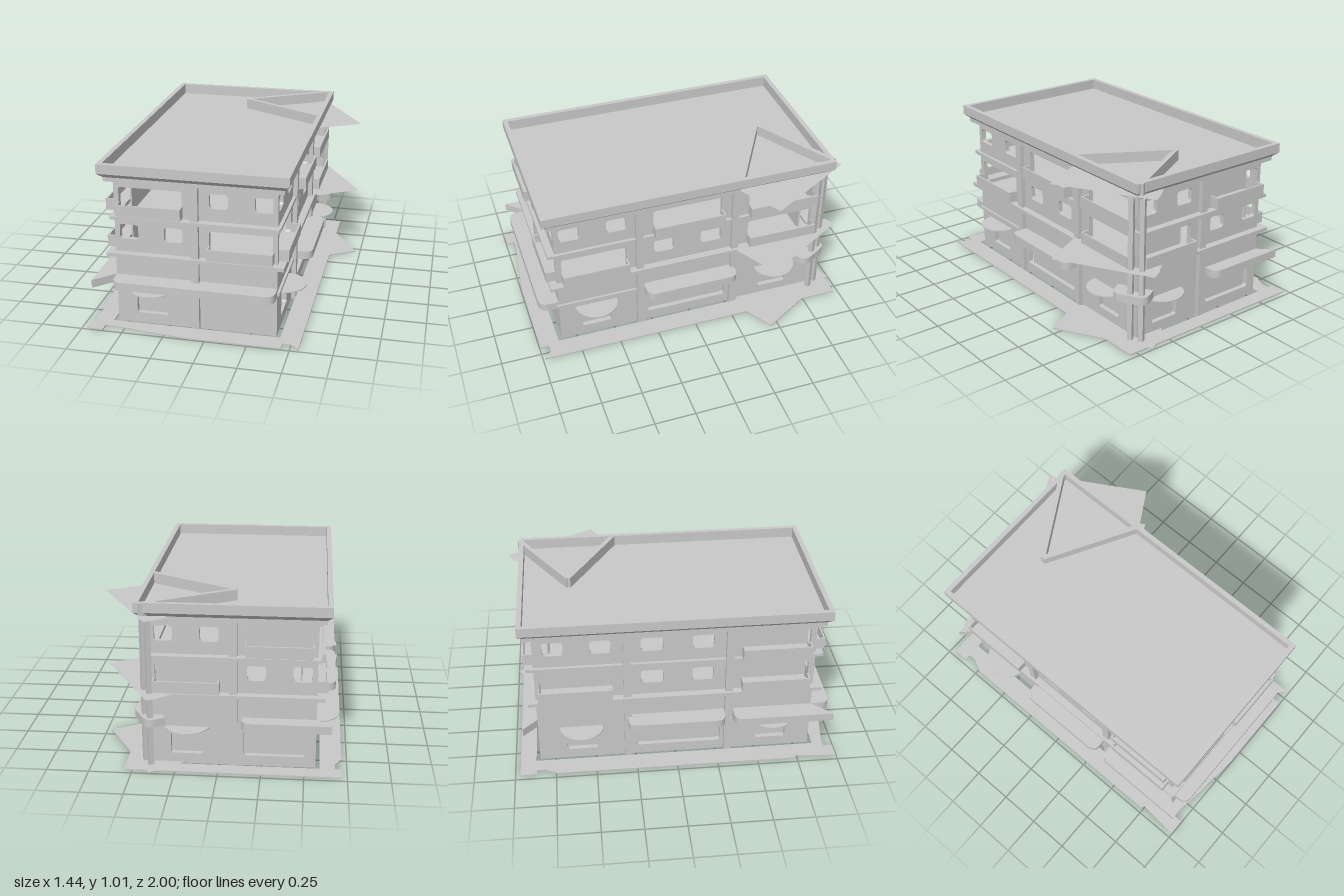
import * as THREE from 'three';

const grey = new THREE.MeshStandardMaterial({ color: 0xc8c8c8, side: THREE.DoubleSide });
grey.name = 'concrete grey';
const CX = -0.083, HX = 0.483, HZ = 0.847, WALL_H = 0.91, T = 0.03;

function add(parent, name, geometry, x = 0, y = 0, z = 0) {
  const mesh = new THREE.Mesh(geometry, grey);
  mesh.name = name;
  mesh.position.set(x, y, z);
  parent.add(mesh);
  return mesh;
}

// Box given by its two extremes on each axis
function block(parent, name, x0, x1, y0, y1, z0, z1) {
  return add(parent, name, new THREE.BoxGeometry(x1 - x0, y1 - y0, z1 - z0),
    (x0 + x1) / 2, (y0 + y1) / 2, (z0 + z1) / 2);
}

// Rounded opening; r is the lower corner radius, rt the upper one
function roundRect(x0, x1, y0, y1, r, rt = r) {
  const path = new THREE.Path();
  path.moveTo(x0 + r, y0);
  path.lineTo(x1 - r, y0); path.quadraticCurveTo(x1, y0, x1, y0 + r);
  path.lineTo(x1, y1 - rt); path.quadraticCurveTo(x1, y1, x1 - rt, y1);
  path.lineTo(x0 + rt, y1); path.quadraticCurveTo(x0, y1, x0, y1 - rt);
  path.lineTo(x0, y0 + r); path.quadraticCurveTo(x0, y0, x0 + r, y0);
  return path;
}

// Shape drawn in (x, z) and raised along y
function flat(points, y, height, hole) {
  const shape = new THREE.Shape(points.map(([x, z]) => new THREE.Vector2(x, -z)));
  if (hole) shape.holes.push(new THREE.Path(hole.map(([x, z]) => new THREE.Vector2(x, -z))));
  const g = height
    ? new THREE.ExtrudeGeometry(shape, { depth: height, bevelEnabled: false })
    : new THREE.ShapeGeometry(shape);
  return g.rotateX(-Math.PI / 2).translate(0, y, 0);
}

// Canopy slab along a wall: rounded outer corners, or a pointed mitre at its far end
function canopy(parent, u0, u1, d, mitre) {
  const r = 0.06, s = new THREE.Shape();
  s.moveTo(u1, 0);
  s.lineTo(u0, 0);
  s.lineTo(u0, -d + r);
  s.quadraticCurveTo(u0, -d, u0 + r, -d);
  if (mitre) {
    s.lineTo(u1 + d, -d);
  } else {
    s.lineTo(u1 - r, -d);
    s.quadraticCurveTo(u1, -d, u1, -d + r);
  }
  const g = new THREE.ExtrudeGeometry(s, { depth: 0.05, bevelEnabled: false });
  return add(parent, 'canopy', g.rotateX(-Math.PI / 2), 0, 0.258, 0);
}

// One outer wall facing local +z, with openings, balconies, doors and canopies
function buildWall(name, half, spec) {
  const wall = new THREE.Group();
  wall.name = name;
  const shape = new THREE.Shape();
  shape.moveTo(-half, 0); shape.lineTo(half, 0);
  shape.lineTo(half, WALL_H); shape.lineTo(-half, WALL_H);
  const hole = (...a) => shape.holes.push(roundRect(...a));

  for (const [u0, u1, row] of spec.small) {
    const y = row ? 0.77 : 0.54;
    hole(u0, u1, y, y + 0.09, 0.022);
  }
  for (const [u0, u1, row] of spec.balconies) {
    const y = row ? 0.70 : 0.47;
    hole(u0 + 0.004, u1 - 0.004, y + 0.012, y + 0.16, 0.018);
    block(wall, 'balconyFloor', u0, u1, y, y + 0.012, -T, 0.06);
    block(wall, 'balconyFront', u0, u1, y, y + 0.07, 0.05, 0.06);
    for (const u of [u0, u1 - 0.01]) block(wall, 'balconySide', u, u + 0.01, y, y + 0.07, 0, 0.05);
    if (spec.blind) block(wall, 'balconyBackWall', u0, u1, y, y + 0.18, -0.1, -0.09);
  }
  for (const u of spec.doors) {
    hole(u - 0.094, u + 0.094, 0.065, 0.225, 0.012, 0.05);
    block(wall, 'doorPanel', u - 0.11, u + 0.11, 0.03, 0.25, -0.05, -0.04);
    add(wall, 'doorAwning',
      new THREE.CylinderGeometry(0.135, 0.135, 0.006, 24, 1, false, -Math.PI / 2, Math.PI),
      u, 0.236, -spec.inset);
  }
  for (const [u0, u1] of spec.shopWindows) {
    hole(u0, u1, 0.065, 0.225, 0.02);
    block(wall, 'shopPanel', u0 - 0.02, u1 + 0.02, 0.03, 0.25, -0.06, -0.05);
  }
  for (const [u0, u1, mitre] of spec.canopies) canopy(wall, u0, u1, 0.118 - spec.inset, mitre);
  for (const u of spec.pillars) block(wall, 'pillar', u - 0.023, u + 0.023, 0, WALL_H, 0, 0.028);
  block(wall, 'lowerBand', -half - 0.045, half + 0.02, 0.438, 0.46, -0.01, 0.045);
  block(wall, 'upperBand', -half - 0.015, half + 0.015, 0.672, 0.692, -0.01, spec.upperBand);
  add(wall, 'wallPanel', new THREE.ExtrudeGeometry(shape, { depth: T, bevelEnabled: false }), 0, 0, -T);
  return wall;
}

export function createModel() {
  const model = new THREE.Group();
  model.name = 'cornerBuilding';

  // Walls: horizontal positions are measured from each wall's middle
  const walls = {
    frontWall: {
      small: [[0.083, 0.193, 1], [0.348, 0.463, 1], [-0.457, -0.342, 0], [-0.187, -0.077, 0]],
      balconies: [[-0.457, -0.072, 1], [0.078, 0.463, 0]],
      doors: [-0.27], shopWindows: [], canopies: [[-0.483, 0.483]],
      pillars: [0], upperBand: 0.045, inset: 0,
    },
    backWall: {
      small: [[-0.193, -0.083, 1], [-0.463, -0.348, 1], [0.342, 0.457, 0], [0.077, 0.187, 0]],
      balconies: [[0.072, 0.457, 1], [-0.463, -0.078, 0]], blind: true,
      doors: [-0.273], shopWindows: [[0.06, 0.42]], canopies: [[0.05, 0.483, true]],
      pillars: [0], upperBand: 0.045, inset: 0.03,
    },
    rightWall: {
      small: [[-0.815, -0.69, 1], [-0.525, -0.40, 1], [-0.23, -0.10, 0], [0.075, 0.21, 0]],
      balconies: [[-0.235, 0.215, 1], [0.385, 0.83, 1], [-0.815, -0.40, 0], [0.385, 0.83, 0]],
      doors: [-0.612, 0.58], shopWindows: [[-0.28, 0.245]], canopies: [[-0.30, 0.295]],
      pillars: [-0.325, 0.295], upperBand: 0.02, inset: 0,
    },
    leftWall: {
      small: [[-0.21, -0.075, 1], [0.10, 0.23, 1], [-0.21, -0.075, 0], [0.10, 0.23, 0],
        [-0.79, -0.665, 1], [-0.51, -0.385, 1]],
      balconies: [[0.40, 0.815, 1], [0.40, 0.815, 0], [-0.83, -0.385, 0]], blind: true,
      doors: [-0.58, 0.60], shopWindows: [[-0.245, 0.28]],
      canopies: [[-0.295, 0.30], [0.355, 0.847, true]],
      pillars: [0.325, -0.295], upperBand: 0.02, inset: 0,
    },
  };
  Object.entries(walls).forEach(([name, spec]) => {
    const side = name === 'rightWall' || name === 'leftWall';
    const wall = buildWall(name, side ? HZ : HX, spec);
    const turn = { frontWall: 0, rightWall: 1, backWall: 2, leftWall: 3 }[name] * Math.PI / 2;
    const d = side ? HX : HZ;
    wall.rotation.y = turn;
    wall.position.set(CX + Math.sin(turn) * d, 0, Math.cos(turn) * d);
    model.add(wall);
  });
  block(model, 'sideLedge', CX + HX, CX + HX + 0.015, 0.268, 0.286, 0.35, 0.86);

  // Floors and roof deck
  for (const [y, name, e] of [[0.001, 'groundFloor', -0.01], [0.444, 'secondFloor', -0.01],
    [0.676, 'thirdFloor', -0.01], [0.937, 'roofDeck', 0.05]]) {
    block(model, name, CX - HX - e, CX + HX + e, y, y + 0.012, -HZ - e, HZ + e);
  }

  // Cornice and parapet: a four-sided ring from one profile
  const profile = [[-0.08, 0.905], [-0.03, 0.905], [-0.03, 0.93], [0, 0.957], [0, 1.015],
    [-0.03, 1.015], [-0.03, 0.945]];
  const ring = new THREE.LatheGeometry(
    profile.map(([o, y]) => new THREE.Vector2((1 + o), y)), 4, Math.PI / 4).toNonIndexed();
  const p = ring.attributes.position;
  for (let i = 0; i < p.count; i++) {
    const off = Math.hypot(p.getX(i), p.getZ(i)) - 1;
    p.setX(i, CX + Math.sign(p.getX(i)) * (0.556 + off));
    p.setZ(i, Math.sign(p.getZ(i)) * (0.922 + off));
  }
  ring.computeVertexNormals();
  add(model, 'parapet', ring);

  // Angled parapet walls at the back corner
  for (const [x, z] of [[0.455, -0.31], [0.445, -0.92]]) {
    const dx = x + 0.08, dz = z + 0.615;
    const m = add(model, 'angledParapet', new THREE.BoxGeometry(Math.hypot(dx, dz), 0.07, 0.03),
      x - dx / 2, 0.979, z - dz / 2);
    m.rotation.y = -Math.atan2(dz, dx);
  }

  // Thin angled floor plates projecting from the back corner
  const plate = [[0.40, -1.0], [0.72, -0.45], [0.46, -0.30], [-0.07, -0.615], [0.34, -0.965]];
  for (const [y, h] of [[0, 0.008], [0.462, 0], [0.932, 0]]) add(model, 'cornerPlate', flat(plate, y, h));

  // Turned columns and canopy at the back corner
  for (const [x, z] of [[0.438, -0.833], [0.4, -0.888]]) {
    const m = add(model, 'cornerColumn', new THREE.BoxGeometry(0.03, 0.905, 0.03), x, 0.4525, z);
    m.rotation.y = Math.PI / 6;
  }
  const turned = canopy(model, -0.11, 0.11, 0.118, false);
  turned.rotation.y = Math.PI * 2 / 3;
  turned.position.set(0.365, 0.258, -0.79);

  // Pavement with irregular corners and a narrow gap to the building
  const outline = [[-0.72, -0.97], [0.55, -0.97], [0.55, 0.99], [0.50, 0.94], [0.45, 0.94], [0.45, 0.995],
    [-0.09, 0.995], [-0.39, 0.965], [-0.555, 0.94], [-0.62, 0.94], [-0.62, 0.995], [-0.72, 0.995],
    [-0.70, 0.74], [-0.72, 0.74], [-0.72, -0.74], [-0.68, -0.82], [-0.68, -0.87], [-0.72, -0.87]];
  const gx = HX + 0.025, gz = HZ + 0.025;
  const gap = [[CX - gx, -gz], [CX + gx, -gz], [CX + gx, gz], [CX - gx, gz]];
  add(model, 'pavement', flat(outline, 0, 0.008, gap));

  return model;
}
